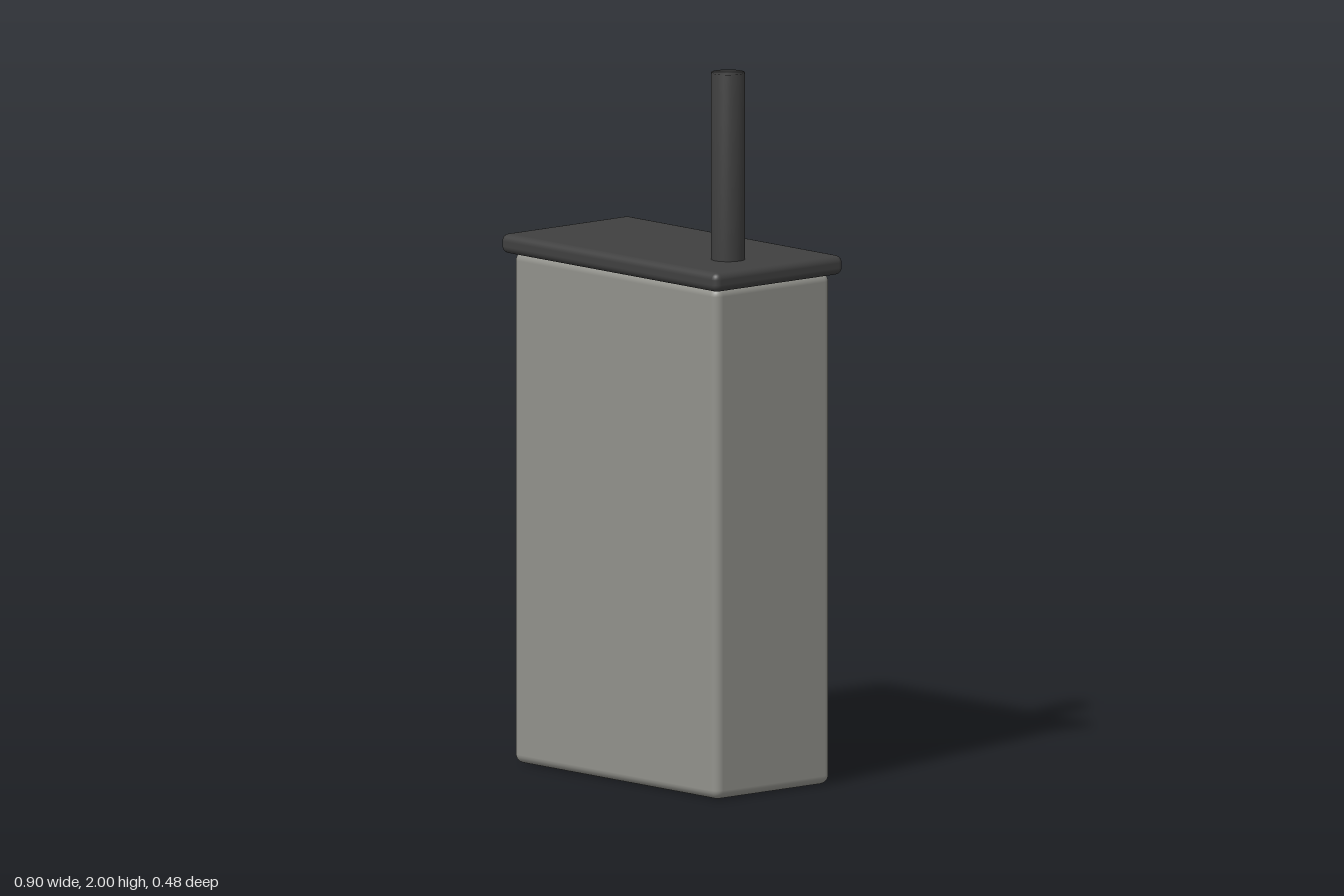
import * as THREE from 'three';
import { RoundedBoxGeometry } from 'three/addons/geometries/RoundedBoxGeometry.js';
import { mergeVertices } from 'three/addons/utils/BufferGeometryUtils.js';

export function createModel() {
  const group = new THREE.Group();
  const material = (name, color) => {
    const m = new THREE.MeshStandardMaterial({ color });
    m.name = name;
    return m;
  };
  const grey = material('stone grey', 0x92928c);
  const charcoal = material('charcoal', 0x404040);
  const black = material('soft black', 0x333333);
  const brass = material('brass', 0xb88a48);

  const add = (name, geometry, mat, x, y, z) => {
    const mesh = new THREE.Mesh(geometry, mat);
    mesh.name = name;
    mesh.position.set(x, y, z);
    group.add(mesh);
  };
  const rounded = (name, mat, [w, h, d], r, x, y, z) =>
    add(name, new RoundedBoxGeometry(w, h, d, 3, r), mat, x, y, z);

  // Cabinet and overhanging lid
  rounded('body', grey, [0.85, 1.43, 0.424], 0.025, 0, 0.715, 0.002);
  rounded('lid', charcoal, [0.902, 0.054, 0.472], 0.02, 0, 1.451, 0.002);

  // Chimney pipe, with normals blended over its rim
  let pipe = new THREE.CylinderGeometry(0.047, 0.047, 0.55, 32);
  pipe.deleteAttribute('normal');
  pipe.deleteAttribute('uv');
  pipe = mergeVertices(pipe);
  pipe.computeVertexNormals();
  add('pipe', pipe, charcoal, 0.285, 1.725, 0.048);

  // Door trim on the back
  const back = -0.21;
  rounded('verticalTrim', black, [0.025, 1.24, 0.024], 0.005, 0, 0.75, back);
  for (const y of [0.333, 1.148]) {
    rounded('horizontalTrim', black, [0.78, 0.025, 0.024], 0.005, 0, y, back);
  }

  // Handle and small plate
  rounded('handle', black, [0.045, 0.168, 0.034], 0.008, 0.343, 0.863, -0.222);
  rounded('plate', brass, [0.12, 0.048, 0.03], 0.005, -0.24, 1.302, -0.213);

  return group;
}
